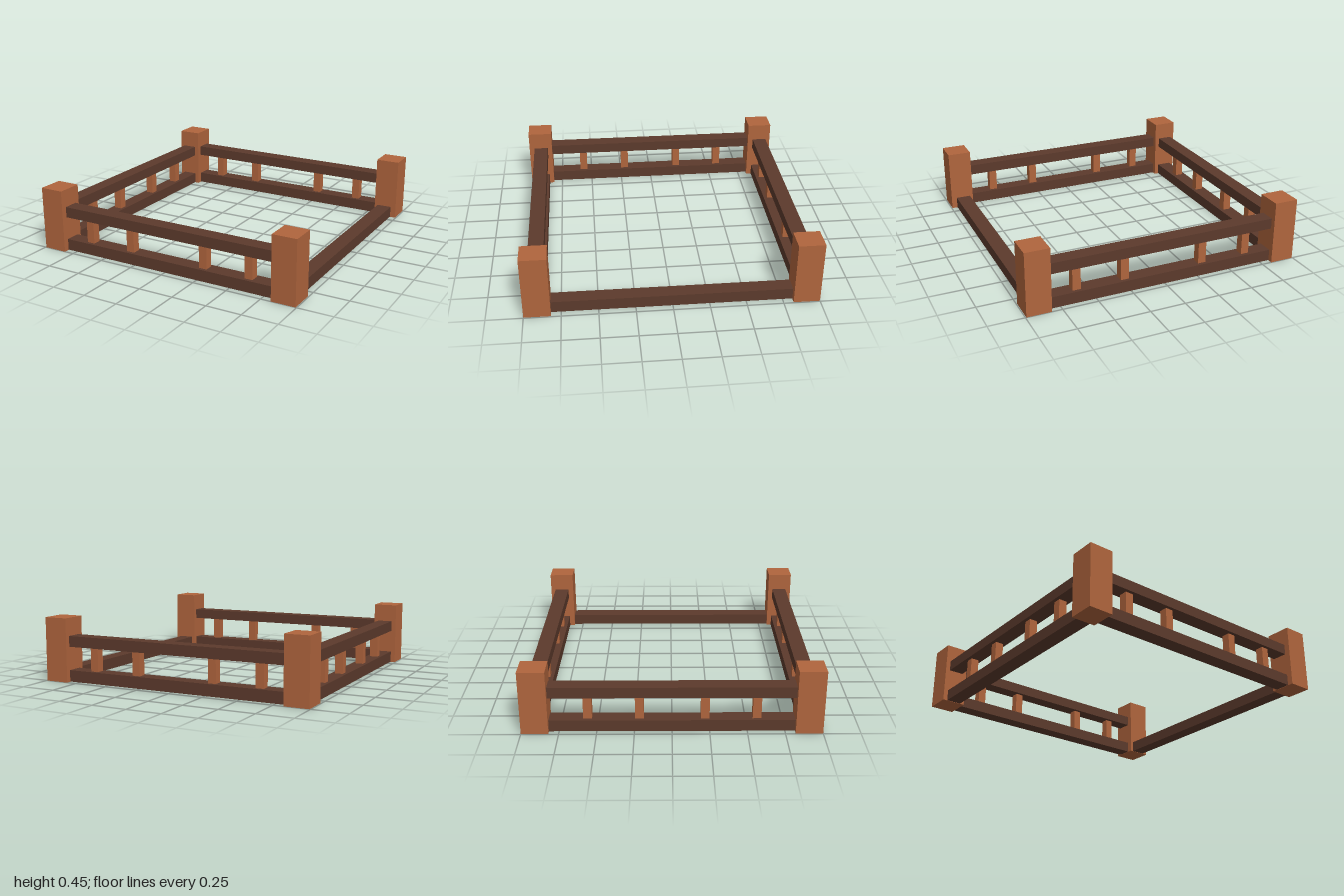
import * as THREE from 'three';

export function createModel() {
  const model = new THREE.Group();
  const lightWood = new THREE.MeshStandardMaterial({ color: 0xb0653d });
  const darkWood = new THREE.MeshStandardMaterial({ color: 0x5c3a2c });

  // Box standing on height y0, centred on x and z
  const addBox = (parent, name, [w, h, d], [x, y0, z], material) => {
    const mesh = new THREE.Mesh(new THREE.BoxGeometry(w, h, d), material);
    mesh.position.set(x, y0 + h / 2, z);
    mesh.name = name;
    parent.add(mesh);
  };

  const postX = 0.908, postZ = 0.909;
  const postW = 0.172, postD = 0.182;
  const railW = 0.107, railH = 0.078;
  const upperY = 0.249, balusterW = 0.058;

  // Corner posts
  for (const x of [-postX, postX])
    for (const z of [-postZ, postZ])
      addBox(model, 'cornerPost', [postW, 0.452, postD], [x, 0, z], lightWood);

  // A side runs along its local x between two posts; open sides have only the lower rail
  const addSide = (name, length, balusters) => {
    const side = new THREE.Group();
    side.name = name;
    addBox(side, 'lowerRail', [length, railH + 0.003, railW], [0, 0.002, 0], darkWood);
    if (balusters.length)
      addBox(side, 'upperRail', [length, railH - 0.002, railW], [0, upperY, 0], darkWood);
    for (const x of balusters)
      addBox(side, 'baluster', [balusterW, upperY - railH, balusterW], [x, railH, 0], lightWood);
    model.add(side);
    return side;
  };

  const lengthX = 2 * postX - postW, lengthZ = 2 * postZ - postD;
  const spacing = [-0.633, -0.292, 0.288, 0.629];
  addSide('frontSide', lengthX, spacing).position.z = 0.906;
  addSide('backSide', lengthX, spacing).position.z = -0.911;

  // Right-hand railing, and the open entrance opposite it
  const rightSide = addSide('rightSide', lengthZ, [-0.564, -0.22, 0.216, 0.56]);
  rightSide.position.x = -0.908;
  rightSide.rotation.y = Math.PI / 2;
  const entrance = addSide('leftEntrance', lengthZ, []);
  entrance.position.x = 0.9;
  entrance.rotation.y = Math.PI / 2;

  return model;
}
